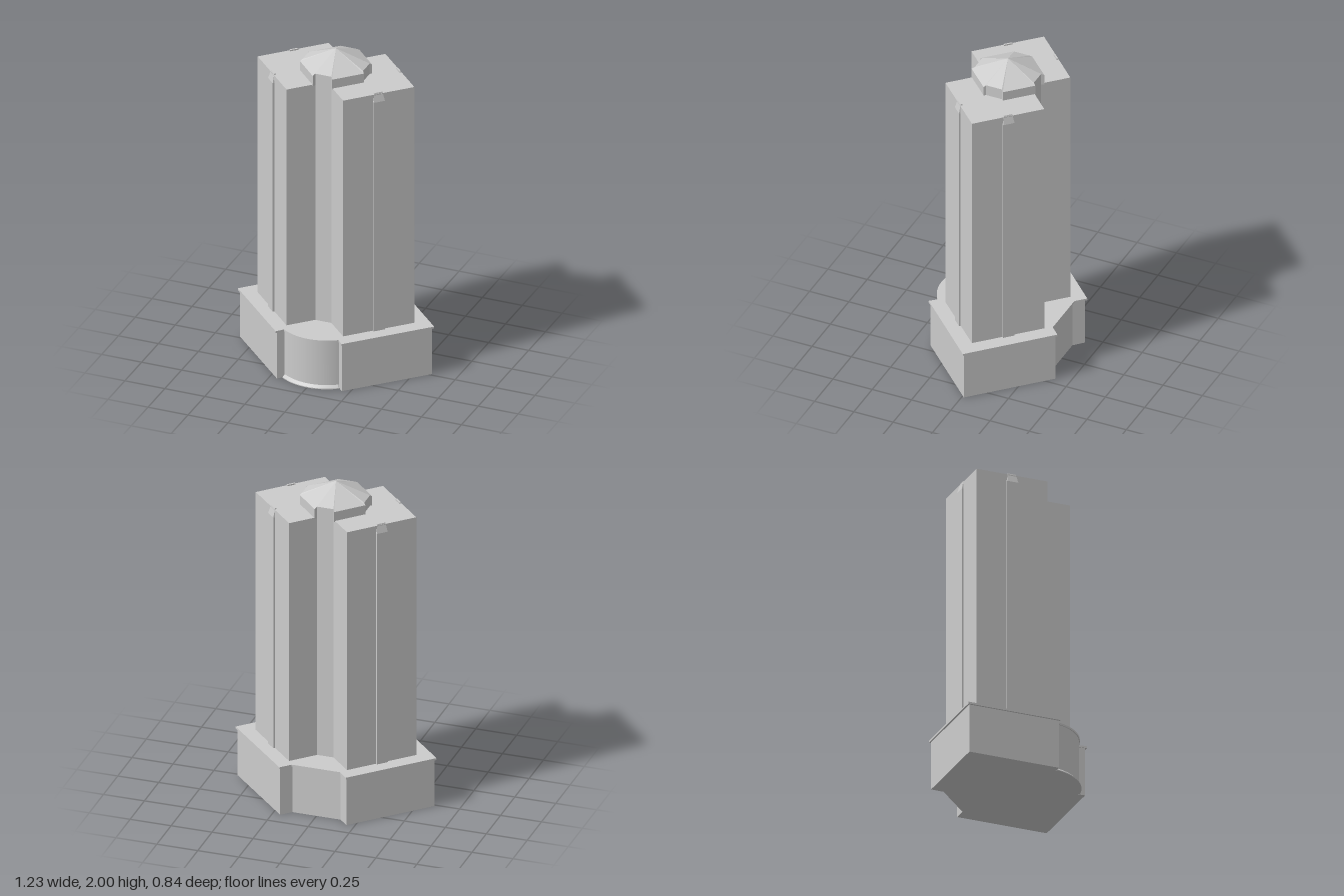
import * as THREE from 'three';
import { toCreasedNormals } from 'three/addons/utils/BufferGeometryUtils.js';

const CZ = -0.013; // z of the tower axis
const grey = new THREE.MeshStandardMaterial({ color: 0xcccccc });
const greyFlat = new THREE.MeshStandardMaterial({ color: 0xcccccc, flatShading: true, side: THREE.DoubleSide });

function addMesh(parent, name, geometry, material = grey) {
  const mesh = new THREE.Mesh(geometry, material);
  mesh.name = name;
  parent.add(mesh);
  return mesh;
}

// Raise a plan outline given as (x, -z) from y0 to y1
function raise(shape, y0, y1) {
  const g = new THREE.ExtrudeGeometry(shape, { depth: y1 - y0, bevelEnabled: false, curveSegments: 32 });
  g.rotateX(-Math.PI / 2);
  g.translate(0, y0, 0);
  return toCreasedNormals(g, 0.4);
}

// Mirror a half outline (x >= 0, [x, z] from front to back) into a full one
function mirrored(half) {
  return [...half, ...half.map(([x, z]) => [-x, z]).reverse()];
}

// Diamond podium plan with a bowed front bay and a notched back
const BOW_Z = 0.12;
const BOW_X = 0.17;
function podiumShape(tipX, frontX, frontZ, backX, backZ, notchX, notchZ, bowR) {
  const a = Math.asin(BOW_X / bowR);
  const bowEndZ = BOW_Z + bowR * Math.cos(a);
  const half = [[BOW_X, bowEndZ], [frontX, frontZ], [tipX, CZ], [backX, backZ], [notchX, notchZ]];
  const shape = new THREE.Shape(mirrored(half).map(([x, z]) => new THREE.Vector2(x, -z)));
  shape.absarc(0, -BOW_Z, bowR, -Math.PI / 2 - a, -Math.PI / 2 + a, false);
  return shape;
}

// Cupola with four projecting corners and four recessed bays between them
function cupolaGeometry() {
  const eave = 1.905, recess = 1.915, foot = 1.84;
  const quarter = [[0.05, 0.188, recess], [0.06, 0.203, eave], [0.2, 0.061, eave], [0.19, 0.05, recess]];
  const ring = [];
  for (const [sx, sz] of [[1, 1], [1, -1], [-1, -1], [-1, 1]]) {
    const pts = quarter.map(([x, z, y]) => new THREE.Vector3(sx * x, y, CZ + sz * z));
    ring.push(...(sx * sz > 0 ? pts : pts.reverse()));
  }
  const apex = new THREE.Vector3(0, 2, CZ);
  const tris = [];
  ring.forEach((a, i) => {
    const b = ring[(i + 1) % ring.length];
    const a0 = a.clone().setY(foot), b0 = b.clone().setY(foot);
    tris.push(a, b, apex, a0, b0, b, a0, b, a);
  });
  const g = new THREE.BufferGeometry().setFromPoints(tris);
  g.computeVertexNormals();
  return g;
}

// Slim pilaster with a tapered cap; local +z points out of the wall
function pilaster() {
  const group = new THREE.Group();
  const w = 0.07, d = 0.024;
  const shaft = new THREE.BoxGeometry(w, 1.49, d);
  shaft.translate(0, 0.31 + 0.745, 0);
  addMesh(group, 'pilasterShaft', shaft);
  const cap = new THREE.BoxGeometry(w, 0.055, d);
  const p = cap.attributes.position;
  for (let i = 0; i < p.count; i++) {
    if (p.getY(i) < 0) continue;
    p.setX(i, p.getX(i) * 0.72);
    if (p.getZ(i) > 0) p.setZ(i, -0.002);
  }
  cap.translate(0, 1.8275, 0);
  cap.computeVertexNormals();
  addMesh(group, 'pilasterCap', cap);
  return group;
}

export function createModel() {
  const model = new THREE.Group();
  model.name = 'towerBlock';

  // Podium
  addMesh(model, 'podiumWalls', raise(podiumShape(0.6, 0.203, 0.384, 0.203, -0.41, 0.146, -0.355, 0.285), 0, 0.3));
  addMesh(model, 'podiumRoofSlab', raise(podiumShape(0.614, 0.206, 0.395, 0.203, -0.423, 0.147, -0.367, 0.29), 0.3, 0.312));

  // Sloped kerb round the foot of the bowed bay
  const a = Math.asin(BOW_X / 0.29);
  const kerbProfile = [[0.28, 0], [0.3, 0], [0.3, 0.005], [0.285, 0.02]].map(([r, y]) => new THREE.Vector2(r, y));
  const kerb = addMesh(model, 'bayKerb', new THREE.LatheGeometry(kerbProfile, 32, -a, 2 * a), greyFlat);
  kerb.position.z = BOW_Z;

  // Two diamond wings joined by a core
  const towerHalf = [[0.05, 0.175], [0.177, 0.302], [0.49, CZ], [0.177, -0.327], [0.05, -0.2]];
  const tower = new THREE.Shape(mirrored(towerHalf).map(([x, z]) => new THREE.Vector2(x, -z)));
  addMesh(model, 'towerWings', raise(tower, 0.31, 1.847));

  // Pilasters at the middle of each outer wall
  for (const sx of [1, -1]) {
    for (const sz of [1, -1]) {
      const p = pilaster();
      p.name = (sz > 0 ? 'front' : 'back') + (sx > 0 ? 'Left' : 'Right') + 'Pilaster';
      p.position.set(sx * 0.332, 0, CZ + sz * 0.157);
      p.rotation.y = Math.atan2(sx, sz);
      model.add(p);
    }
  }

  // Rooftop cupola
  addMesh(model, 'cupola', cupolaGeometry(), greyFlat);

  return model;
}
